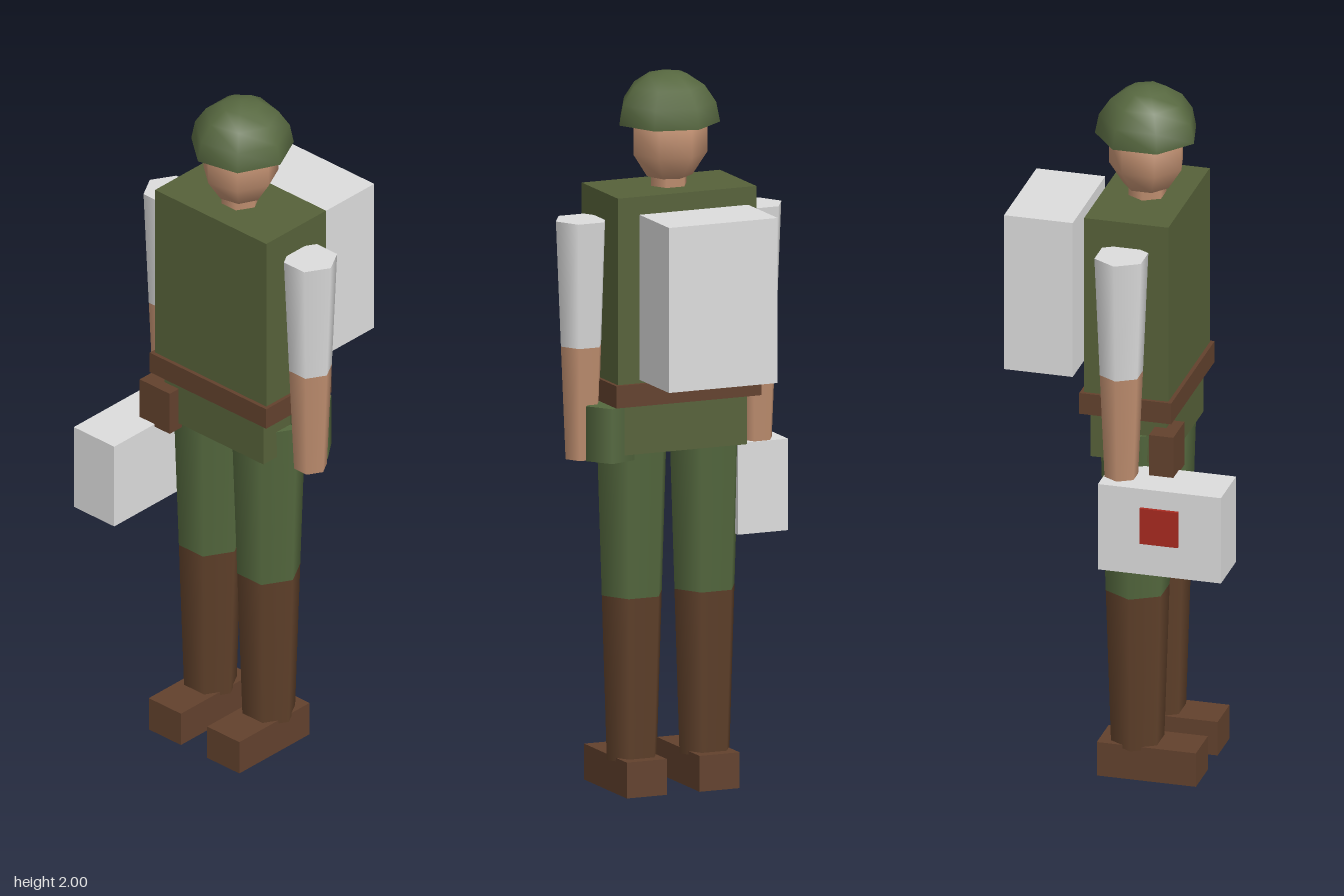
import * as THREE from 'three';

const mat = (name, color, side = THREE.FrontSide) => {
  const m = new THREE.MeshStandardMaterial({ color, side });
  m.name = name;
  return m;
};

// Body centre line
const CX = 0.005, CZ = 0.027;

export function createModel() {
  const root = new THREE.Group();
  root.name = 'soldier';

  const jacket = mat('jacketGreen', 0x566139);
  const cloth = mat('clothGreen', 0x54683e);
  const helmetMat = mat('helmetGreen', 0x576840, THREE.DoubleSide);
  const leather = mat('leatherBrown', 0x62412d);
  const boot = mat('bootBrown', 0x5f402a);
  const skin = mat('skin', 0xc08f70);
  const white = mat('paleGrey', 0xdcdcdc);
  const red = mat('red', 0xa82a20);

  const add = (name, geometry, material, x = 0, y = 0, z = 0, parent = root) => {
    const mesh = new THREE.Mesh(geometry, material);
    mesh.name = name;
    mesh.position.set(x, y, z);
    parent.add(mesh);
    return mesh;
  };

  // Box given by its limits on each axis
  const box = (name, material, [x0, x1], [y0, y1], [z0, z1], parent) =>
    add(name, new THREE.BoxGeometry(x1 - x0, y1 - y0, z1 - z0), material,
      (x0 + x1) / 2, (y0 + y1) / 2, (z0 + z1) / 2, parent);

  // Upright tapered prism with one corner pointing to +x
  const prism = (name, material, sides, rTop, rBottom, y0, y1, x, z, parent) =>
    add(name, new THREE.CylinderGeometry(rTop, rBottom, y1 - y0, sides, 1, false, Math.PI / 2),
      material, x, (y0 + y1) / 2, z, parent);

  // Torso, hips and belt
  box('torso', jacket, [-0.203, 0.212], [1.13, 1.68], [-0.094, 0.145]);
  box('jacketSkirt', jacket, [-0.18, 0.19], [0.96, 1.13], [-0.083, 0.133]);
  box('belt', leather, [-0.213, 0.222], [1.098, 1.16], [-0.105, 0.156]);

  // Neck, head and helmet
  prism('neck', skin, 6, 0.053, 0.053, 1.66, 1.75, CX, CZ);
  const head = add('head', new THREE.SphereGeometry(0.111, 7, 5, Math.PI), skin, CX, 1.81, CZ);
  head.scale.y = 1.13;
  const helmet = new THREE.Group();
  helmet.name = 'helmet';
  helmet.position.set(0.009, 1.856, 0.026);
  root.add(helmet);
  add('helmetShell', new THREE.SphereGeometry(0.144, 7, 4, Math.PI, Math.PI * 2, 0, Math.PI / 2),
    helmetMat, 0, 0, 0, helmet);
  const rim = add('helmetUnderside', new THREE.CircleGeometry(0.144, 7), helmetMat, 0, 0, 0, helmet);
  rim.rotation.x = Math.PI / 2;

  // Arms and legs on both sides
  for (const [side, s] of [['left', 1], ['right', -1]]) {
    const arm = new THREE.Group();
    arm.name = side + 'Arm';
    root.add(arm);
    const ax = CX + s * 0.262;
    prism('sleeve', white, 6, 0.076, 0.061, 1.255, 1.605, ax, CZ, arm);
    prism('forearm', skin, 6, 0.061, 0.047, 0.94, 1.255, ax, CZ, arm);

    const leg = new THREE.Group();
    leg.name = side + 'Leg';
    root.add(leg);
    const lx = CX + s * 0.109;
    prism('trouserLeg', cloth, 6, 0.106, 0.09, 0.55, 1.04, lx, 0.03, leg);
    prism('bootShaft', boot, 6, 0.09, 0.075, 0.09, 0.55, lx, 0.03, leg);
    box('shoe', leather, [lx - 0.06, lx + 0.06], [0, 0.1], [-0.069, 0.212], leg);
  }

  // Equipment on the belt
  box('beltPouch', leather, [-0.238, -0.126], [0.942, 1.07], [0.1, 0.169]);
  prism('canteen', cloth, 5, 0.07, 0.07, 0.942, 1.095, 0.208, -0.03);

  // Backpack and carried case with its red marking
  box('backpack', white, [-0.158, 0.168], [1.18, 1.64], [-0.334, -0.139]);
  box('carryCase', white, [-0.333, -0.182], [0.695, 0.95], [-0.018, 0.331]);
  box('caseMarking', red, [-0.3425, -0.333], [0.79, 0.895], [0.102, 0.211]);

  return root;
}
